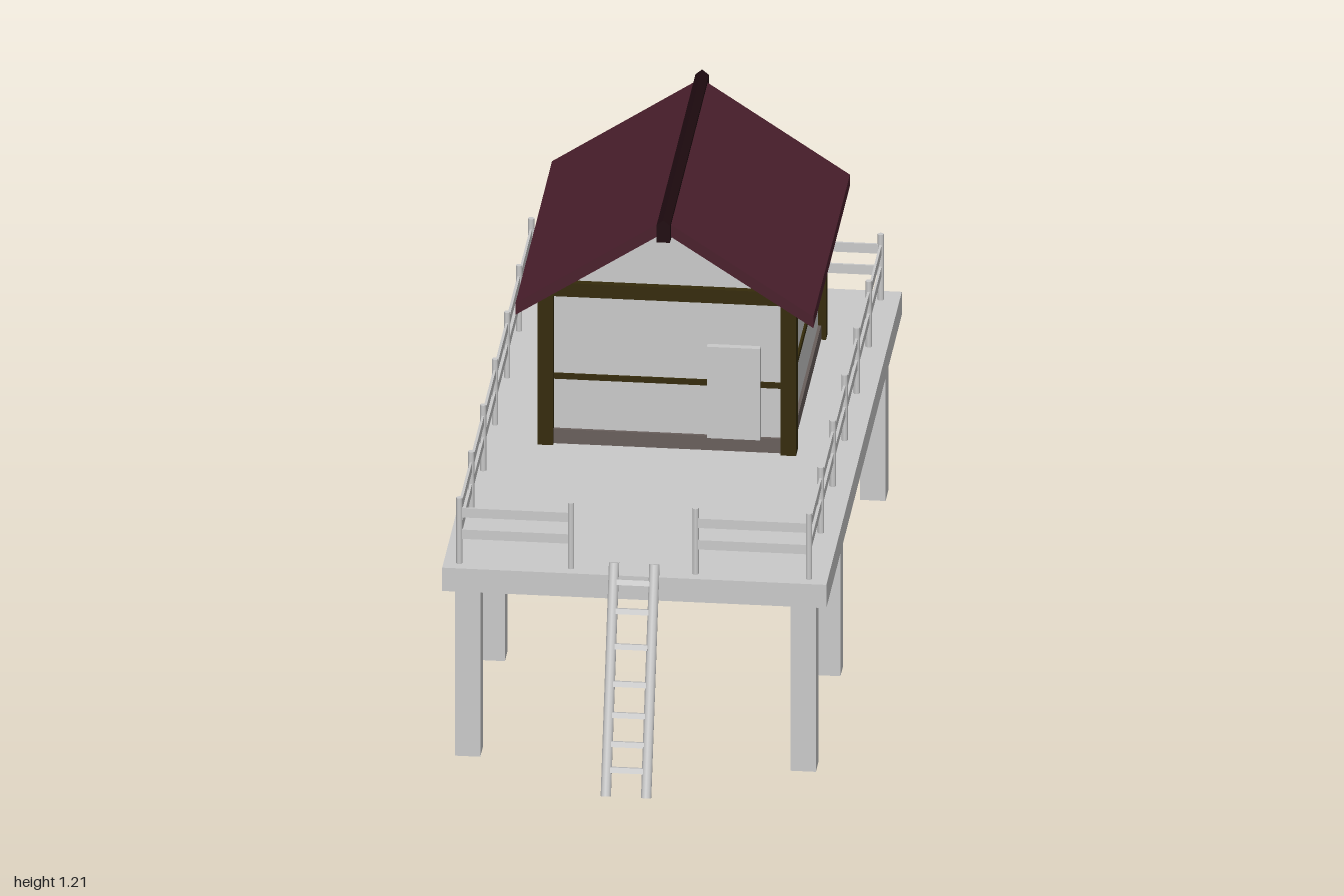
import * as THREE from 'three';

const mat = (name, color, double = false) => {
  const m = new THREE.MeshStandardMaterial({ color });
  m.name = name;
  if (double) m.side = THREE.DoubleSide;
  return m;
};

export function createModel() {
  const model = new THREE.Group();
  model.name = 'stiltHouse';
  const grey = mat('paleGrey', 0xcacaca, true);
  const timber = mat('darkTimber', 0x352b0b);
  const roofRed = mat('roofMaroon', 0x4a1f2c);
  const ridgeDark = mat('ridgeDark', 0x1f0b10);
  const baseBrown = mat('baseBrown', 0x695f5c);

  const add = (name, geo, material, parent = model) => {
    const m = new THREE.Mesh(geo, material);
    m.name = name;
    parent.add(m);
    return m;
  };
  // box given by its limits on each axis
  const box = (name, x0, x1, y0, y1, z0, z1, material, parent) => {
    const m = add(name, new THREE.BoxGeometry(x1 - x0, y1 - y0, z1 - z0), material, parent);
    m.position.set((x0 + x1) / 2, (y0 + y1) / 2, (z0 + z1) / 2);
    return m;
  };
  // outline in x and y, pulled from z0 to z1
  const prism = (name, pts, z0, z1, material) => {
    const shape = new THREE.Shape(pts.map(([x, y]) => new THREE.Vector2(x, y)));
    const geo = new THREE.ExtrudeGeometry(shape, { depth: z1 - z0, bevelEnabled: false });
    return add(name, geo.translate(0, 0, z0), material);
  };

  // deck and hollow square legs
  box('deck', -0.49, 0.49, 0.47, 0.535, -1, 0.79, grey);
  for (const z of [0.732, 0.148, -0.922]) {
    for (const s of [-1, 1]) {
      const geo = new THREE.CylinderGeometry(0.046, 0.046, 0.47, 4, 1, true).rotateY(Math.PI / 4).toNonIndexed();
      geo.computeVertexNormals();
      add('leg', geo, grey).position.set(s * 0.428, 0.235, z);
    }
  }

  // cross beams, a little shallower towards the left end
  for (const z of [0.148, -0.922]) {
    const beam = box('crossBeam', -0.396, 0.396, 0.325, 0.392, z - 0.025, z + 0.025, grey);
    const p = beam.geometry.attributes.position;
    for (let i = 0; i < p.count; i++) {
      if (p.getX(i) > 0 && p.getY(i) > 0) p.setY(i, p.getY(i) - 0.017);
    }
  }

  // railing posts and thin rails
  const railing = new THREE.Group();
  railing.name = 'railing';
  model.add(railing);
  const xs = [-0.45, -0.165, 0.153, 0.442];
  const zs = [0.757, 0.475, 0.19, -0.09, -0.377, -0.662, -0.948];
  const post = (x, z) => add('railingPost', new THREE.CylinderGeometry(0.008, 0.008, 0.183, 8), grey, railing)
    .position.set(x, 0.6265, z);
  for (const z of zs) { post(xs[0], z); post(xs[3], z); }
  for (const z of [zs[0], zs[6]]) { post(xs[1], z); post(xs[2], z); }
  const t = 0.003;
  for (const y of [0.604, 0.664]) {
    const h = y + 0.026;
    for (const x of [xs[0], xs[3]]) box('sideRail', x - t, x + t, y, h, zs[6], zs[0], grey, railing);
    box('backRail', xs[0], xs[3], y, h, zs[6] - t, zs[6] + t, grey, railing);
    box('frontRail', xs[0], xs[1], y, h, zs[0] - t, zs[0] + t, grey, railing);
    box('frontRail', xs[2], xs[3], y, h, zs[0] - t, zs[0] + t, grey, railing);
  }

  // leaning ladder
  const ladder = new THREE.Group();
  ladder.name = 'ladder';
  const lean = Math.atan2(0.197, 0.562);
  ladder.position.set(0, 0.29, 0.889);
  ladder.rotation.x = -lean;
  model.add(ladder);
  for (const s of [-1, 1]) {
    add('ladderRail', new THREE.CylinderGeometry(0.0135, 0.0135, 0.596, 10), grey, ladder).position.x = s * 0.0515;
  }
  for (const y of [0.525, 0.455, 0.37, 0.28, 0.205, 0.135, 0.073]) {
    add('rung', new THREE.BoxGeometry(0.084, 0.014, 0.024), grey, ladder).position.y = (y - 0.29) / Math.cos(lean);
  }

  // house body: footing, gabled walls and door
  box('footing', -0.318, 0.318, 0.535, 0.575, -0.718, 0.008, baseBrown);
  prism('walls', [[-0.31, 0.575], [0.31, 0.575], [0.31, 0.966], [0, 1.168], [-0.31, 0.966]], -0.71, 0, grey);
  box('door', 0.102, 0.238, 0.573, 0.828, -0.002, 0.018, grey);

  // timber frame
  for (const s of [-1, 1]) {
    for (const z of [0, -0.71]) {
      box('cornerPost', s * 0.31 - 0.02, s * 0.31 + 0.02, 0.535, 0.952, z - 0.021, z + 0.021, timber);
    }
    box('sideBand', s * 0.31 - 0.006, s * 0.31 + 0.006, 0.714, 0.729, -0.71, 0, timber);
    box('sideTopBeam', s * 0.31 - 0.016, s * 0.31 + 0.016, 0.918, 0.953, -0.71, 0, timber);
  }
  for (const z of [0, -0.71]) {
    box('endBand', -0.31, 0.31, 0.714, 0.729, z - 0.006, z + 0.006, timber);
    prism('gableBeam', [[-0.33, 0.95], [0.33, 0.95], [0.33, 0.956], [0.278, 0.988], [-0.278, 0.988], [-0.33, 0.956]],
      z - 0.018, z + 0.018, timber);
  }

  // roof slabs and ridge
  prism('roof', [[-0.38, 0.92], [0, 1.168], [0.38, 0.92], [0.38, 0.952], [0, 1.202], [-0.38, 0.952]],
    -0.792, 0.076, roofRed);
  prism('ridge', [[-0.017, 1.152], [0.017, 1.152], [0.017, 1.2], [0, 1.214], [-0.017, 1.2]], -0.82, 0.102, ridgeDark);

  return model;
}
